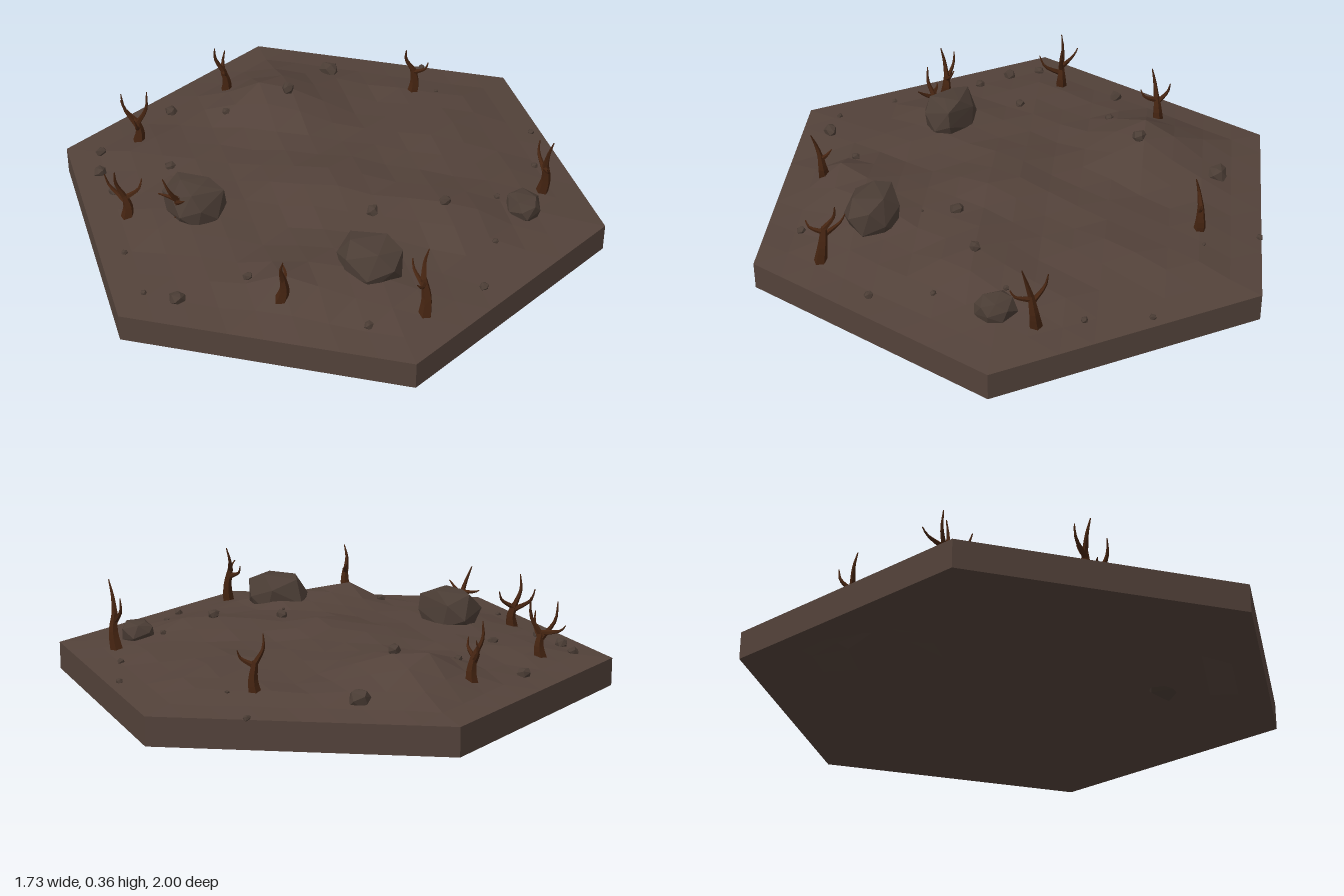
import * as THREE from 'three';
import { ConvexGeometry } from 'three/addons/geometries/ConvexGeometry.js';

const material = (color) =>
  new THREE.MeshStandardMaterial({ color, flatShading: true, side: THREE.DoubleSide });

function seeded(seed) {
  let s = seed * 7919 + 17;
  return () => (s = (s * 16807) % 2147483647) / 2147483647;
}

const WIDTH = Math.sqrt(3) / 2;
const RIM = 0.1;

// Low hills: x, z, height, radius
const HILLS = [
  [-0.48, -0.22, 0.09, 0.19],
  [0.05, 0.02, 0.055, 0.27],
  [0.45, -0.15, 0.055, 0.17],
  [0.42, 0.3, 0.05, 0.18],
  [0.36, 0.57, 0.085, 0.13],
  [0.08, -0.5, 0.03, 0.16],
  [-0.2, 0.45, 0.03, 0.15],
];

// Ground height, falling to the rim at the edges of the hexagon
function ground(x, z) {
  const reach = Math.max(Math.abs(x) / WIDTH, Math.abs(z) + Math.abs(x) / Math.sqrt(3));
  let h = 0.03 + 0.01 * Math.sin(14 * x + 3 * z) * Math.cos(12 * z - 9 * x);
  for (const [hx, hz, a, r] of HILLS) {
    h += a * Math.exp(-((x - hx) ** 2 + (z - hz) ** 2) / (r * r));
  }
  return RIM + h * THREE.MathUtils.smoothstep(1 - reach, 0, 0.32);
}

// Triangular grid filling the hexagon, lowered by drop
function terrainGeometry(n, drop) {
  const positions = [];
  const inside = ([q, r]) => Math.max(Math.abs(q), Math.abs(r), Math.abs(q + r)) <= n;
  const addTriangle = (...corners) => {
    if (!corners.every(inside)) return;
    for (const [q, r] of corners) {
      const x = (q * WIDTH) / n;
      const z = (r + q / 2) / n;
      positions.push(x, ground(x, z) - drop, z);
    }
  };
  for (let q = -n; q <= n; q++) {
    for (let r = -n; r <= n; r++) {
      addTriangle([q, r], [q, r + 1], [q + 1, r]);
      addTriangle([q + 1, r], [q, r + 1], [q + 1, r + 1]);
    }
  }
  const geometry = new THREE.BufferGeometry();
  geometry.setAttribute('position', new THREE.Float32BufferAttribute(positions, 3));
  geometry.computeVertexNormals();
  return geometry;
}

// Faceted stone: hull of jittered points on a sphere, cut flat on top
function stoneGeometry(rx, ry, rz, seed, count) {
  const random = seeded(seed);
  const points = [];
  for (let i = 0; i < count; i++) {
    const y = 1 - (2 * (i + 0.5)) / count;
    const angle = i * 2.4 + random() * 0.6;
    const ring = Math.sqrt(1 - y * y);
    const k = 0.92 + random() * 0.2;
    points.push(new THREE.Vector3(
      rx * k * ring * Math.cos(angle), ry * Math.min(k * y, 0.65 + random() * 0.12), rz * k * ring * Math.sin(angle)));
  }
  return new ConvexGeometry(points);
}

// Tapered limb along a bent path
function limbGeometry(points, r0, r1) {
  const curve = new THREE.CatmullRomCurve3(points);
  const steps = 6, sides = 5;
  const geometry = new THREE.TubeGeometry(curve, steps, 1, sides, false);
  const p = geometry.attributes.position;
  const v = new THREE.Vector3();
  for (let i = 0; i < p.count; i++) {
    const t = Math.floor(i / (sides + 1)) / steps;
    const centre = curve.getPointAt(t);
    v.fromBufferAttribute(p, i).sub(centre).multiplyScalar(r0 + (r1 - r0) * t).add(centre);
    p.setXYZ(i, v.x, v.y, v.z);
  }
  geometry.computeVertexNormals();
  return geometry;
}

// Dead tree from base, fork and branch tips
function makeTree(base, fork, tips, bark) {
  const tree = new THREE.Group();
  tree.name = 'deadTree';
  const b = new THREE.Vector3(...base);
  const f = new THREE.Vector3(...fork);
  const bend = b.clone().lerp(f, 0.5).add(new THREE.Vector3(0.006, 0, -0.006));
  const trunk = new THREE.Mesh(limbGeometry([b, bend, f], 0.024, 0.011), bark);
  trunk.name = 'trunk';
  tree.add(trunk);
  tips.forEach((tip, i) => {
    const t = new THREE.Vector3(...tip);
    const start = f.clone().lerp(b, 0.04 + i * 0.09);
    // Elbow reaches outward, crooked to alternate sides
    const elbow = start.clone().lerp(t, 0.5);
    elbow.x += (t.x - start.x) * 0.2 + (i % 2 ? 0.01 : -0.01);
    elbow.z += (t.z - start.z) * 0.2;
    const branch = new THREE.Mesh(limbGeometry([start, elbow, t], 0.011, 0.002), bark);
    branch.name = 'branch';
    tree.add(branch);
  });
  return tree;
}

// Boulders: centre, radii, turn
const BOULDERS = [
  [-0.195, 0.182, 0.47, 0.115, 0.115, 0.095, 0.2],
  [0.47, 0.18, 0.29, 0.12, 0.12, 0.1, 0.5],
  [0.62, 0.145, -0.35, 0.07, 0.06, 0.062, -0.5],
];

// Pebbles: x, z, radius
const PEBBLES = [
  [-0.5, -0.53, 0.04], [0.09, 0.82, 0.028], [-0.43, -0.23, 0.026], [-0.75, 0.08, 0.025],
  [-0.74, 0.44, 0.021], [-0.65, 0.52, 0.026], [-0.52, 0.57, 0.019], [-0.47, 0.34, 0.02],
  [-0.23, 0.77, 0.012], [-0.02, 0.87, 0.012], [0.2, 0.6, 0.018], [0.64, 0.48, 0.018],
  [0.78, 0.06, 0.018], [0.67, -0.13, 0.012], [0.44, -0.13, 0.022], [0.28, 0.07, 0.026],
  [0.52, -0.32, 0.012], [0.47, -0.6, 0.014], [0.32, -0.77, 0.014], [-0.1, -0.71, 0.008],
  [-0.28, -0.83, 0.013], [-0.55, -0.02, 0.017], [0.35, 0.17, 0.006],
];

export function createModel() {
  const model = new THREE.Group();
  const soil = material(0x53423a);
  const stone = material(0x4b3d35);
  const bark = material(0x452411);
  const add = (geometry, mat, name) => {
    const mesh = new THREE.Mesh(geometry, mat);
    mesh.name = name;
    model.add(mesh);
    return mesh;
  };

  // Hexagonal slab: ground, parallel underside and rim
  add(terrainGeometry(8, 0), soil, 'terrain');
  add(terrainGeometry(8, RIM), soil, 'underside');
  add(new THREE.CylinderGeometry(1, 1, RIM, 6, 1, true), soil, 'rimWall').position.y = RIM / 2;

  // Stones
  BOULDERS.forEach(([x, y, z, rx, ry, rz, turn], i) => {
    const mesh = add(stoneGeometry(rx, ry, rz, i + 3, 22), stone, 'boulder');
    mesh.position.set(x, y, z);
    mesh.rotation.y = turn;
  });
  PEBBLES.forEach(([x, z, r], i) => {
    const mesh = add(stoneGeometry(r, r, r * 0.9, i + 20, 14), stone, 'pebble');
    mesh.position.set(x, ground(x, z) + r * 0.3, z);
    mesh.rotation.y = i;
  });

  // Trees
  const plant = (base, fork, ...tips) => model.add(makeTree(base, fork, tips, bark));
  plant([-0.69, 0.11, 0.3], [-0.69, 0.21, 0.3],
    [-0.79, 0.25, 0.29], [-0.66, 0.335, 0.27], [-0.735, 0.32, 0.33], [-0.63, 0.265, 0.36]);
  plant([-0.375, 0.11, 0.63], [-0.385, 0.2, 0.63],
    [-0.39, 0.31, 0.66], [-0.355, 0.255, 0.57], [-0.46, 0.265, 0.65]);
  plant([-0.21, 0.15, 0.53], [-0.2, 0.24, 0.55],
    [-0.26, 0.245, 0.58], [-0.22, 0.33, 0.59], [-0.135, 0.27, 0.57]);
  plant([0.365, 0.14, 0.61], [0.38, 0.24, 0.61], [0.4, 0.33, 0.63], [0.35, 0.265, 0.58]);
  plant([0.735, 0.11, 0.31], [0.715, 0.25, 0.3],
    [0.7, 0.34, 0.26], [0.74, 0.27, 0.36], [0.64, 0.275, 0.27]);
  plant([0.59, 0.11, -0.49], [0.605, 0.245, -0.48],
    [0.64, 0.36, -0.47], [0.65, 0.27, -0.43], [0.55, 0.31, -0.51]);
  plant([-0.17, 0.11, -0.65], [-0.17, 0.23, -0.65], [-0.18, 0.32, -0.62], [-0.12, 0.265, -0.68]);
  plant([-0.69, 0.11, -0.15], [-0.69, 0.23, -0.14],
    [-0.7, 0.335, -0.11], [-0.64, 0.27, -0.1], [-0.72, 0.285, -0.18]);
  return model;
}
